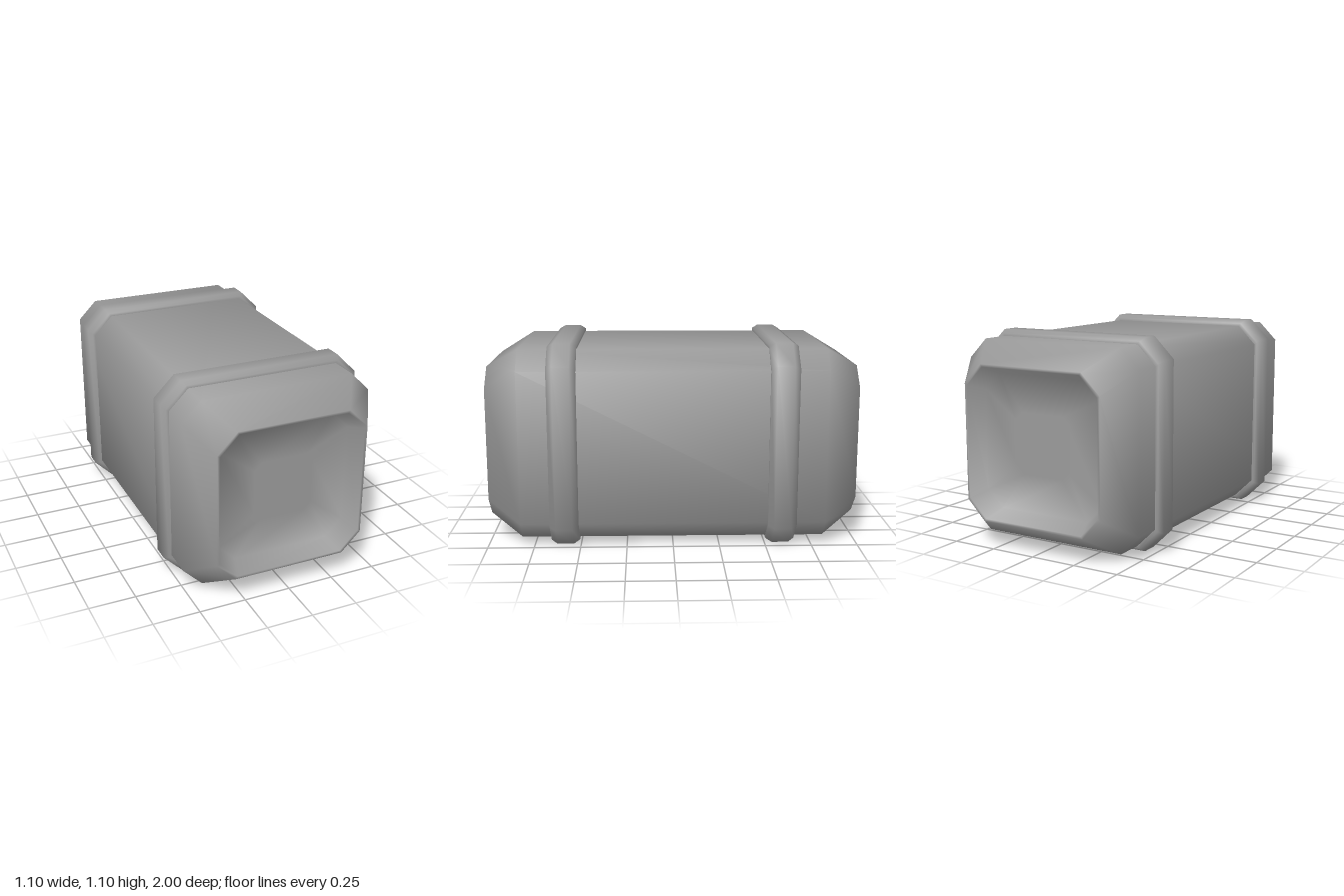
import * as THREE from 'three';

const CENTER_Y = 0.548;
const SIDES = 8;

// Square outline with cut corners, counter-clockwise around z
function cutSquare(half, cut, z) {
  const s = half - cut;
  return [
    [half, -s], [half, s], [s, half], [-s, half],
    [-half, s], [-half, -s], [-s, -half], [s, -half],
  ].map(([x, y]) => new THREE.Vector3(x, y, z));
}

// Skin a row of cut-square sections [half, cut, z], running from back to front.
// Every face counts equally in the vertex normals, for soft shading across the flats.
function loft(sections) {
  const points = sections.flatMap((section) => cutSquare(...section));
  const normals = points.map(() => new THREE.Vector3());
  const index = [];
  for (let i = 0; i < sections.length - 1; i++) {
    for (let j = 0; j < SIDES; j++) {
      const a = i * SIDES + j, b = i * SIDES + (j + 1) % SIDES;
      const c = b + SIDES, d = a + SIDES;
      const across = points[c].clone().sub(points[a]);
      const normal = across.cross(points[d].clone().sub(points[b])).normalize();
      [a, b, c, d].forEach((k) => normals[k].add(normal));
      index.push(a, b, c, a, c, d);
    }
  }
  normals.forEach((normal) => normal.normalize());

  const flat = (vectors) => new THREE.Float32BufferAttribute(vectors.flatMap((v) => v.toArray()), 3);
  const geometry = new THREE.BufferGeometry();
  geometry.setAttribute('position', flat(points));
  geometry.setAttribute('normal', flat(normals));
  geometry.setIndex(index);
  return geometry;
}

export function createModel() {
  const group = new THREE.Group();
  group.name = 'container';
  const material = new THREE.MeshStandardMaterial({ color: 0x9c9c9c });

  const addPart = (name, geometry, z) => {
    const part = new THREE.Mesh(geometry, material);
    part.name = name;
    part.position.set(0, CENTER_Y, z);
    group.add(part);
  };

  // Body: straight side, tapered shoulder, rim and recessed floor, mirrored to the back
  const frontHalf = [
    [0.515, 0.103, 0.82],
    [0.408, 0.105, 1.0],
    [0.394, 0.1, 1.0],
    [0.355, 0.09, 0.9],
    [0.16, 0.04, 0.9],
    [0, 0, 0.9],
  ];
  const backHalf = frontHalf.map(([half, cut, z]) => [half, cut, -z]).reverse();
  addPart('body', loft([...backHalf, ...frontHalf]), 0);

  // Raised bands with bevelled edges
  const band = loft([
    [0.512, 0.103, -0.077],
    [0.53, 0.107, -0.077],
    [0.548, 0.11, -0.045],
    [0.548, 0.11, 0.045],
    [0.53, 0.107, 0.077],
    [0.512, 0.103, 0.077],
  ]);
  addPart('frontBand', band, 0.585);
  addPart('backBand', band, -0.585);
  return group;
}
